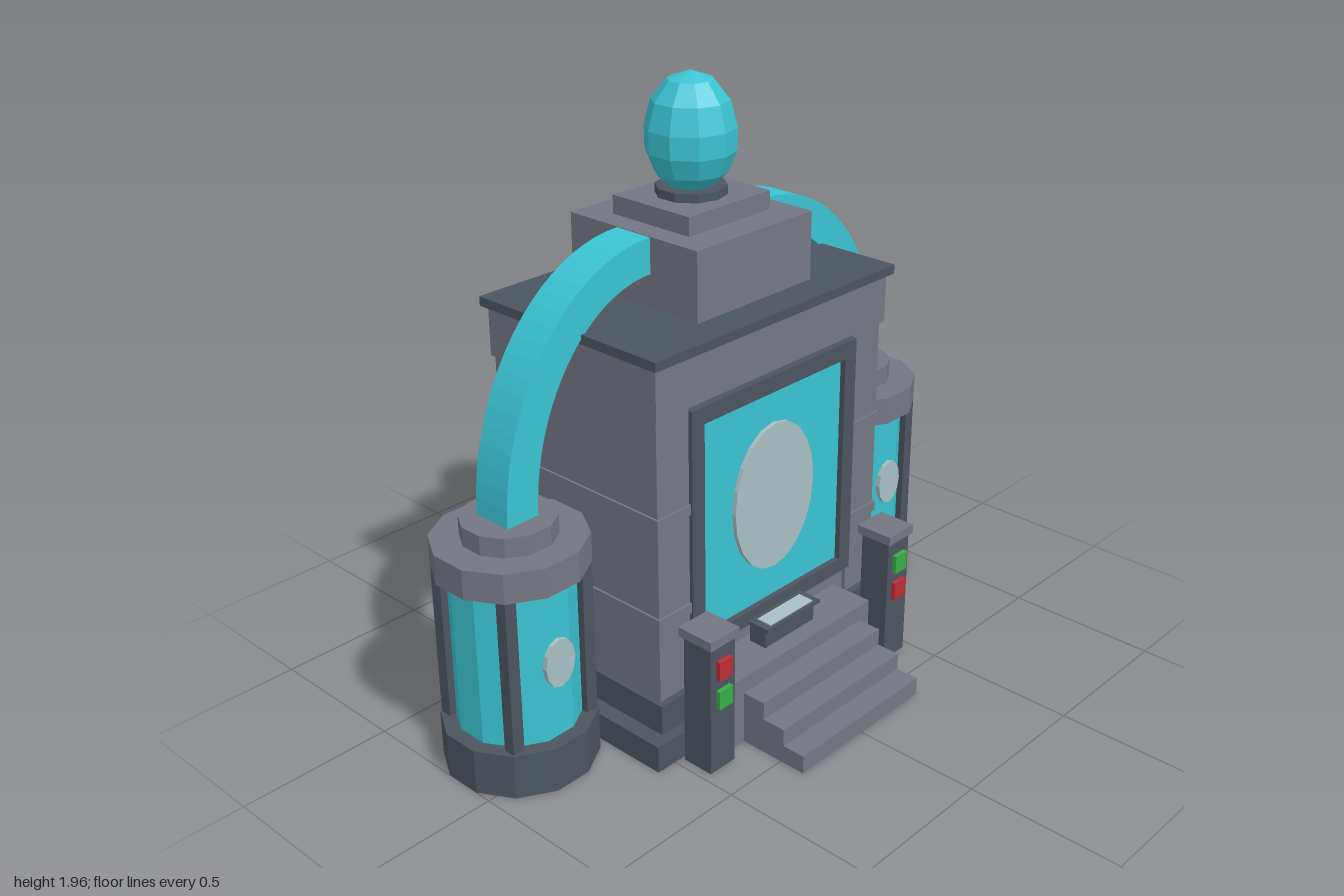
import * as THREE from 'three';

const mat = (name, color, flatShading = true) => {
  const m = new THREE.MeshStandardMaterial({ color, flatShading });
  m.name = name;
  return m;
};

export function createModel() {
  const stone = mat('stone grey', 0x747783);
  const dark = mat('dark slate', 0x4c555f);
  const teal = mat('teal glow', 0x3bc4d2);
  const pale = mat('pale glass', 0xa8c0c4);
  const red = mat('red light', 0xbd2c35);
  const green = mat('green light', 0x36ad45);

  const model = new THREE.Group();
  model.name = 'shrineMachine';
  const CX = -0.117; // axis shared by the tower and the tanks

  const add = (name, geometry, material, parent = model) => {
    const mesh = new THREE.Mesh(geometry, material);
    mesh.name = name;
    parent.add(mesh);
    return mesh;
  };
  // Box given by its limits on each axis
  const box = (name, material, x0, x1, y0, y1, z0, z1, parent) => {
    const g = new THREE.BoxGeometry(x1 - x0, y1 - y0, z1 - z0);
    g.translate((x0 + x1) / 2, (y0 + y1) / 2, (z0 + z1) / 2);
    return add(name, g, material, parent);
  };
  // Upright prism with flats facing the axes
  const drum = (name, material, r, y0, y1, parent, sides = 12) => {
    const g = new THREE.CylinderGeometry(r, r, y1 - y0, sides);
    g.rotateY(Math.PI / sides);
    g.translate(0, (y0 + y1) / 2, 0);
    return add(name, g, material, parent);
  };
  // Oval disc facing +x
  const oval = (name, material, x0, x1, y, z, ry, rz, sides) => {
    const g = new THREE.CylinderGeometry(1, 1, x1 - x0, sides);
    g.rotateZ(-Math.PI / 2);
    g.scale(1, ry, rz);
    g.translate((x0 + x1) / 2, y, z);
    return add(name, g, material);
  };

  // Plinth and core
  box('plinth', dark, -0.59, 0.27, 0, 0.09, -0.57, 0.57);
  box('core', stone, -0.45, 0.2, 0.09, 1.2, -0.38, 0.38);

  // Side walls with footings and raised bands
  for (const s of [1, -1]) {
    const wall = (name, m, x0, x1, y0, y1, zi, zo) =>
      box(name, m, x0, x1, y0, y1, Math.min(s * zi, s * zo), Math.max(s * zi, s * zo));
    wall('wallFooting', dark, -0.482, 0.235, 0.09, 0.19, 0.365, 0.517);
    wall('sideWall', stone, -0.467, 0.213, 0.19, 1.12, 0.37, 0.5);
    for (const y of [0.445, 0.775])
      wall('wallBand', stone, -0.475, 0.221, y, y + 0.033, 0.365, 0.507);
  }

  // Upper storey
  box('upperBand', stone, -0.475, 0.225, 1.12, 1.28, -0.51, 0.51);
  box('roofSlab', dark, -0.492, 0.243, 1.28, 1.31, -0.527, 0.527);
  box('tower', stone, -0.385, 0.135, 1.31, 1.528, -0.248, 0.248);
  box('towerCap', stone, -0.28, 0.033, 1.528, 1.587, -0.174, 0.174);

  // Egg on its collar
  const finial = new THREE.Group();
  finial.name = 'finial';
  finial.position.x = -0.125;
  model.add(finial);
  drum('eggCollar', dark, 0.11, 1.587, 1.614, finial, 10);
  const eggProfile = [[0, 1.605], [0.065, 1.61], [0.112, 1.655], [0.138, 1.72], [0.139, 1.79],
    [0.118, 1.87], [0.07, 1.93], [0, 1.955]].map(p => new THREE.Vector2(...p));
  add('egg', new THREE.LatheGeometry(eggProfile, 10, Math.PI / 2), teal, finial);

  // Tanks and the arched pipes joining them to the tower
  for (const s of [1, -1]) {
    const tank = new THREE.Group();
    tank.name = 'tank';
    tank.position.set(CX, 0, s * 0.77);
    model.add(tank);
    drum('tankBase', dark, 0.238, 0, 0.147, tank);
    drum('tankGlass', teal, 0.191, 0.147, 0.655, tank);
    drum('tankLid', stone, 0.234, 0.655, 0.75, tank);
    drum('tankCollar', stone, 0.144, 0.75, 0.812, tank);
    for (let i = 0; i < 4; i++) {
      const a = Math.PI / 4 + i * Math.PI / 2;
      const bar = box('tankBar', dark, -0.02, 0.02, 0.147, 0.655, -0.02, 0.02, tank);
      bar.position.set(Math.cos(a) * 0.205, 0, Math.sin(a) * 0.205);
      bar.rotation.y = i % 2 ? 0 : Math.PI / 2;
    }
    oval('tankWindow', pale, 0.06, 0.082, 0.4, s * 0.77, 0.08, 0.056, 12);

    const arch = new THREE.Shape();
    arch.moveTo(0.83, 0.8);
    arch.absellipse(0.25, 0.81, 0.58, 0.717, 0, Math.PI / 2, false);
    arch.absellipse(0.25, 0.81, 0.465, 0.605, Math.PI / 2, 0, true);
    arch.lineTo(0.715, 0.8);
    const g = new THREE.ExtrudeGeometry(arch, { depth: 0.134, bevelEnabled: false, curveSegments: 10 });
    g.translate(0, 0, -0.067);
    g.rotateY(s > 0 ? -Math.PI / 2 : Math.PI / 2);
    g.translate(CX, 0, 0);
    add('archPipe', g, teal);
  }

  // Framed portal screen
  const frame = new THREE.Shape();
  frame.moveTo(-0.37, 0.29).lineTo(0.37, 0.29).lineTo(0.37, 1.105).lineTo(-0.37, 1.105).closePath();
  const hole = new THREE.Path();
  hole.moveTo(-0.318, 0.34).lineTo(-0.318, 1.05).lineTo(0.318, 1.05).lineTo(0.318, 0.34).closePath();
  frame.holes.push(hole);
  const frameGeo = new THREE.ExtrudeGeometry(frame, { depth: 0.035, bevelEnabled: false });
  frameGeo.rotateY(Math.PI / 2);
  frameGeo.translate(0.192, 0, 0);
  add('screenFrame', frameGeo, dark);
  box('screen', teal, 0.199, 0.208, 0.335, 1.055, -0.325, 0.325);
  oval('screenOval', pale, 0.205, 0.222, 0.695, 0, 0.246, 0.18, 20);

  // Landing and steps
  box('landing', stone, 0.19, 0.35, 0, 0.23, -0.325, 0.325);
  [[0.43, 0.175], [0.51, 0.117], [0.588, 0.06]].forEach(([x, y], i) =>
    box('step', stone, 0.35 + i * 0.08, x, 0, y, -0.28, 0.28));

  // Console on the landing
  box('console', dark, 0.225, 0.29, 0.23, 0.298, -0.115, 0.115);
  box('consoleTop', dark, 0.225, 0.308, 0.295, 0.306, -0.125, 0.125);
  box('consoleScreen', pale, 0.243, 0.297, 0.305, 0.31, -0.1, 0.1);

  // Gate posts with signal lights
  for (const s of [1, -1]) {
    const z = s * 0.418;
    box('gatePost', dark, 0.283, 0.39, 0, 0.44, z - 0.052, z + 0.052);
    box('gatePostCap', stone, 0.27, 0.4, 0.437, 0.467, z - 0.061, z + 0.061);
    box('upperLight', s > 0 ? red : green, 0.386, 0.405, 0.322, 0.386, z - 0.028, z + 0.028);
    box('lowerLight', s > 0 ? green : red, 0.386, 0.405, 0.223, 0.285, z - 0.028, z + 0.028);
  }
  return model;
}
